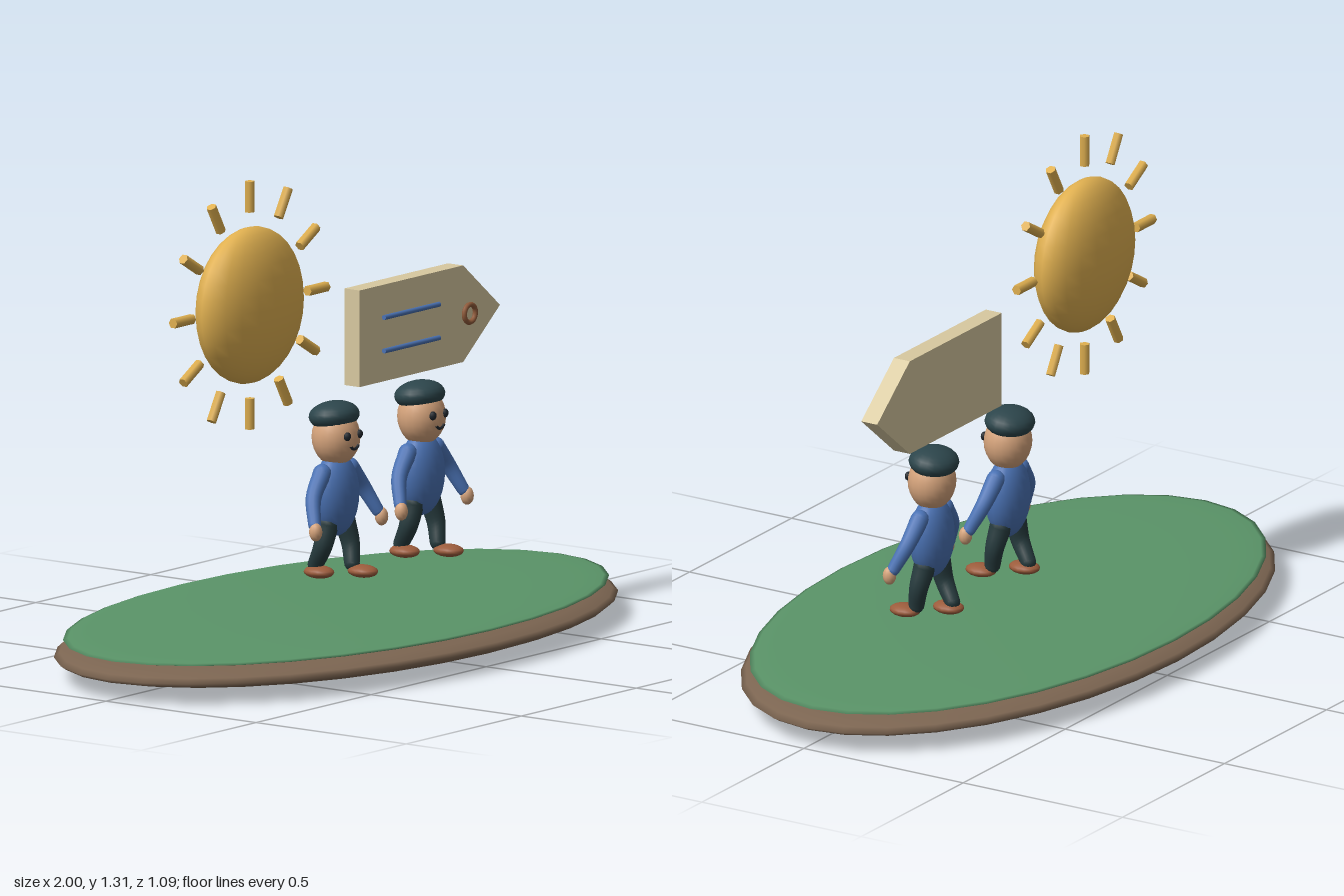
import * as THREE from 'three';

const mat = (color) => new THREE.MeshStandardMaterial({ color });
const M = {
  soil: mat(0x7d6652), grass: mat(0x5a9468), sun: mat(0xe0b050), board: mat(0xd8c9a0),
  blue: mat(0x4a72b4), ring: mat(0x8f5a3a), skin: mat(0xd6a47c), hat: mat(0x2c454b),
  trousers: mat(0x263a3d), shoe: mat(0x9c5c3c), dark: mat(0x20262c),
};

function add(parent, name, geometry, material, x = 0, y = 0, z = 0) {
  const mesh = new THREE.Mesh(geometry, material);
  mesh.name = name;
  mesh.position.set(x, y, z);
  parent.add(mesh);
  return mesh;
}

// Sphere stretched to three radii
function ellipsoid(parent, name, material, [x, y, z], [rx, ry, rz], w = 20, h = 14) {
  const mesh = add(parent, name, new THREE.SphereGeometry(1, w, h), material, x, y, z);
  mesh.scale.set(rx, ry, rz);
  return mesh;
}

// Curved limb, tapering from r0 to r1, with rounded ends
function limb(parent, name, material, points, r0, r1) {
  const curve = new THREE.CatmullRomCurve3(points.map((p) => new THREE.Vector3(...p)));
  const geo = new THREE.TubeGeometry(curve, 10, 1, 12);
  const pos = geo.attributes.position, uv = geo.attributes.uv;
  const v = new THREE.Vector3();
  for (let i = 0; i < pos.count; i++) {
    const u = uv.getX(i), c = curve.getPointAt(u);
    v.fromBufferAttribute(pos, i).sub(c).multiplyScalar(r0 + (r1 - r0) * u).add(c);
    pos.setXYZ(i, v.x, v.y, v.z);
  }
  const group = new THREE.Group();
  group.name = name;
  add(group, name + 'Tube', geo, material);
  ellipsoid(group, name + 'Top', material, points[0], [r0, r0, r0], 12, 8);
  ellipsoid(group, name + 'End', material, points[points.length - 1], [r1, r1, r1], 12, 8);
  parent.add(group);
}

function makeFigure(x) {
  const g = new THREE.Group();
  g.name = 'figure';
  g.position.x = x;

  ellipsoid(g, 'torso', M.blue, [0, 0.41, 0], [0.076, 0.112, 0.053]);
  ellipsoid(g, 'head', M.skin, [0, 0.565, 0], [0.068, 0.077, 0.063]);
  const hat = ellipsoid(g, 'hat', M.hat, [0, 0.622, -0.006], [0.073, 0.039, 0.065]);
  hat.rotation.x = -0.12;

  // Smiling mouth
  const mouth = add(g, 'mouth', new THREE.TorusGeometry(0.018, 0.004, 6, 12, Math.PI * 0.7), M.dark, 0, 0.556, 0.062);
  mouth.rotation.z = Math.PI * 1.15;

  for (const s of [-1, 1]) {
    const side = s > 0 ? 'left' : 'right';
    ellipsoid(g, side + 'Eye', M.dark, [s * 0.026, 0.575, 0.058], [0.011, 0.012, 0.009], 10, 8);

    limb(g, side + 'Arm', M.blue,
      [[s * 0.06, 0.475, 0], [s * 0.108, 0.415, 0.008], [s * 0.137, 0.35, 0.034]], 0.025, 0.017);
    ellipsoid(g, side + 'Hand', M.skin, [s * 0.143, 0.334, 0.042], [0.018, 0.025, 0.018], 12, 8);

    // Walking legs: left forward, right back
    const ankleZ = s > 0 ? 0.025 : -0.04;
    const kneeZ = s > 0 ? 0.012 : -0.008;
    limb(g, side + 'Leg', M.trousers,
      [[s * 0.036, 0.335, 0], [s * 0.047, 0.275, kneeZ], [s * 0.037, 0.222, ankleZ]], 0.03, 0.021);
    ellipsoid(g, side + 'Shoe', M.shoe, [s * 0.04, 0.204, s > 0 ? 0.059 : -0.026], [0.035, 0.017, 0.044], 14, 10);
  }
  return g;
}

function makeSun() {
  const g = new THREE.Group();
  g.name = 'sun';
  g.position.set(-0.375, 0.975, 0);
  ellipsoid(g, 'sunDisc', M.sun, [0, 0, 0], [0.21, 0.21, 0.086], 20, 16);
  const rayGeo = new THREE.CylinderGeometry(0.014, 0.014, 0.083, 6);
  for (let i = 0; i < 12; i++) {
    const a = (i * Math.PI) / 6;
    const ray = add(g, 'sunRay', rayGeo, M.sun, Math.cos(a) * 0.292, Math.sin(a) * 0.292, 0);
    ray.rotation.z = a - Math.PI / 2;
  }
  return g;
}

function makeSign() {
  const g = new THREE.Group();
  g.name = 'arrowSign';
  const shape = new THREE.Shape(
    [[0.07, 0.69], [0.52, 0.69], [0.68, 0.82], [0.52, 0.95], [0.07, 0.95]].map((p) => new THREE.Vector2(...p)));
  add(g, 'signBoard', new THREE.ExtrudeGeometry(shape, { depth: 0.05, bevelEnabled: false }), M.board, 0, 0, -0.025);
  for (const y of [0.865, 0.775]) {
    const line = add(g, 'signLine', new THREE.CylinderGeometry(0.007, 0.007, 0.24, 8), M.blue, 0.28, y, 0.037);
    line.rotation.z = Math.PI / 2;
  }
  add(g, 'signRing', new THREE.TorusGeometry(0.024, 0.007, 8, 20), M.ring, 0.535, 0.82, 0.036);
  return g;
}

export function createModel() {
  const model = new THREE.Group();
  model.name = 'walkersOnIsland';
  // Ground: two very flat ellipsoids
  ellipsoid(model, 'soil', M.soil, [0, 0.061, 0], [1, 0.058, 0.545], 32, 16);
  ellipsoid(model, 'grass', M.grass, [0, 0.105, 0], [0.97, 0.018, 0.525], 32, 16);
  model.add(makeSun(), makeSign(), makeFigure(0), makeFigure(0.372));
  return model;
}
